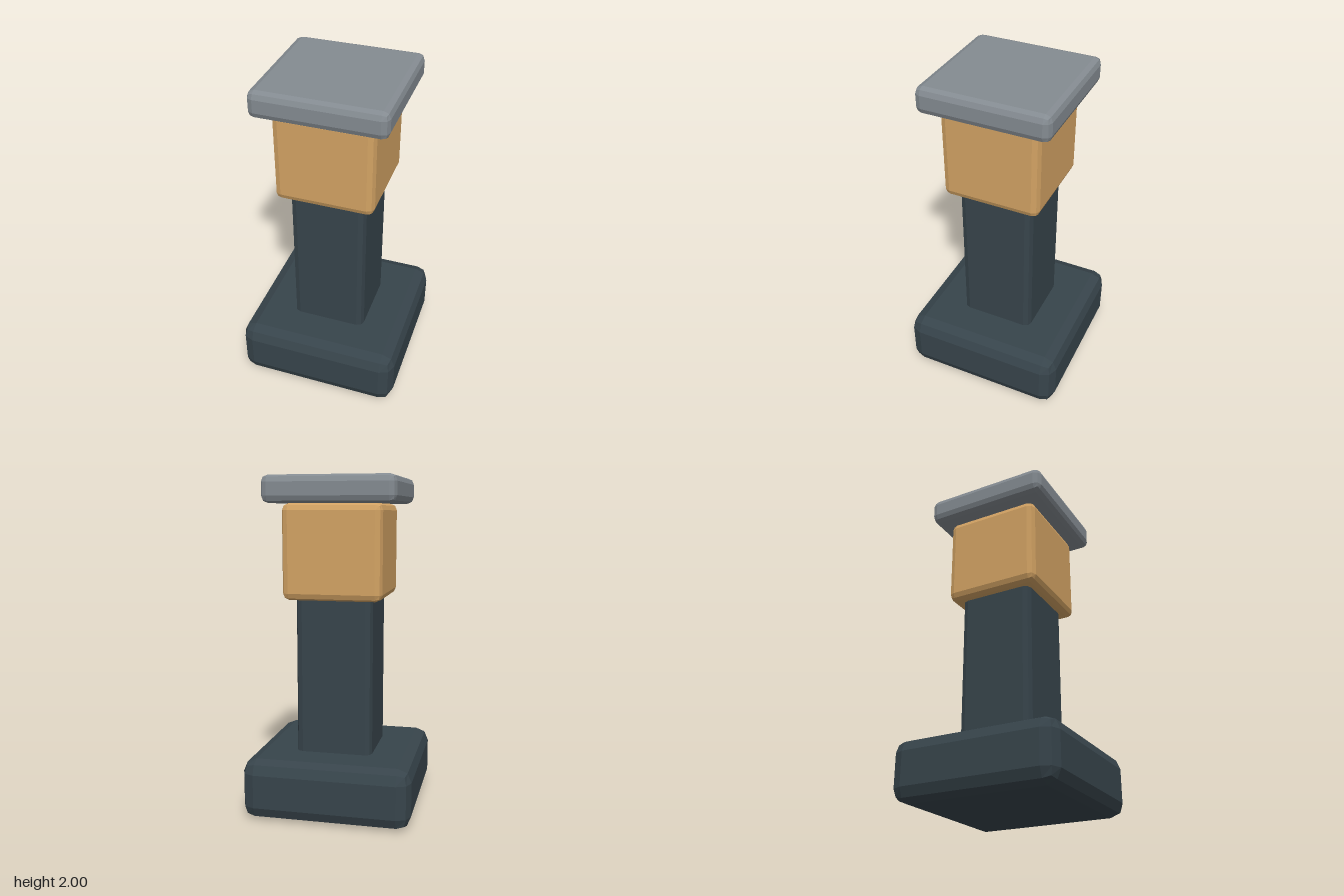
import * as THREE from 'three';
import { RoundedBoxGeometry } from 'three/addons/geometries/RoundedBoxGeometry.js';

export function createModel() {
  const model = new THREE.Group();
  model.name = 'pedestal';

  const material = (name, color) => {
    const m = new THREE.MeshStandardMaterial({ color });
    m.name = name;
    return m;
  };
  const slate = material('darkSlate', 0x37444b);
  const tan = material('warmTan', 0xd2a263);
  const grey = material('stoneGrey', 0x848b91);

  // Square block with faceted, two-step bevels, spanning bottom to top
  const addBlock = (name, width, bottom, top, bevel, mat) => {
    const geometry = new RoundedBoxGeometry(width, top - bottom, width, 1, bevel);
    geometry.computeVertexNormals(); // unindexed, so each facet is flat
    const mesh = new THREE.Mesh(geometry, mat);
    mesh.name = name;
    mesh.position.y = (bottom + top) / 2;
    model.add(mesh);
  };

  addBlock('base', 1.0, 0, 0.36, 0.08, slate);
  // The post runs into the base and the upper block
  addBlock('post', 0.46, 0.3, 1.36, 0.04, slate);
  addBlock('upperBlock', 0.59, 1.285, 1.843, 0.04, tan);
  addBlock('cap', 0.775, 1.843, 2.0, 0.04, grey);

  return model;
}
